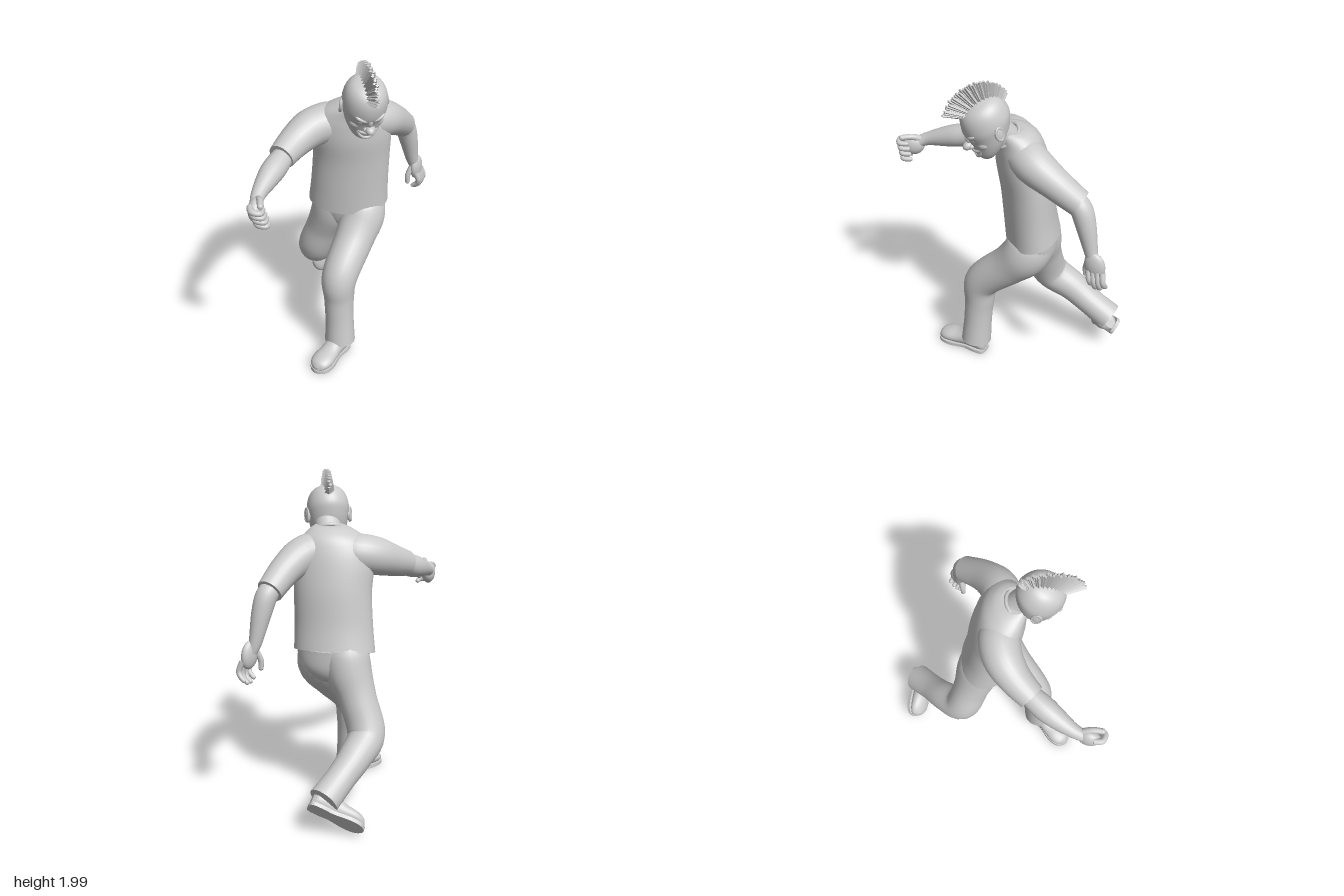
import * as THREE from 'three';

const grey = new THREE.MeshStandardMaterial({ color: 0xcccccc, side: THREE.DoubleSide });
const V = (x, y, z) => new THREE.Vector3(x, y, z);

function mesh(name, geometry, parent, pos = [0, 0, 0], scale = [1, 1, 1]) {
  const m = new THREE.Mesh(geometry, grey);
  m.name = name;
  m.position.set(...pos);
  m.scale.set(...scale);
  parent.add(m);
  return m;
}

const ball = (name, parent, pos, radii) =>
  mesh(name, new THREE.SphereGeometry(1, 20, 14), parent, pos, radii);

// Catmull-Rom interpolation of every column of a table of stations
function smooth(rows, steps = 6) {
  const out = [], at = i => rows[Math.min(Math.max(i, 0), rows.length - 1)];
  for (let i = 0; i < rows.length - 1; i++) {
    for (let s = 0; s < steps; s++) {
      const t = s / steps;
      out.push(rows[i].map((_, k) => {
        const [a, b, c, d] = [at(i - 1)[k], at(i)[k], at(i + 1)[k], at(i + 2)[k]];
        return b + 0.5 * t * (c - a + t * (2 * a - 5 * b + 4 * c - d + t * (3 * (b - c) + d - a)));
      }));
    }
  }
  out.push(rows[rows.length - 1]);
  return out;
}

// Skin over elliptical rings { c, u, v }, with u x v pointing along the loft; both ends capped
function loft(rings, n = 28) {
  const pos = [], idx = [];
  const addRing = r => {
    for (let j = 0; j < n; j++) {
      const t = (j / n) * Math.PI * 2;
      const p = r.c.clone().addScaledVector(r.u, Math.cos(t)).addScaledVector(r.v, Math.sin(t));
      pos.push(p.x, p.y, p.z);
    }
  };
  rings.forEach(addRing);
  for (let i = 0; i < rings.length - 1; i++) {
    for (let j = 0; j < n; j++) {
      const a = i * n + j, b = i * n + (j + 1) % n;
      idx.push(a, b, b + n, a, b + n, a + n);
    }
  }
  [rings[0], rings[rings.length - 1]].forEach((r, end) => {
    const base = pos.length / 3;
    addRing(r);
    pos.push(r.c.x, r.c.y, r.c.z);
    for (let j = 0; j < n; j++) {
      const a = base + j, b = base + (j + 1) % n;
      idx.push(base + n, end ? a : b, end ? b : a);
    }
  });
  const g = new THREE.BufferGeometry();
  g.setAttribute('position', new THREE.Float32BufferAttribute(pos, 3));
  g.setIndex(idx);
  g.computeVertexNormals();
  return g;
}

// Upright form; stations are [x, y, z, halfWidth, halfDepth], turned by yaw degrees;
// the front of the lower edge hangs lower by drop
function upright(rows, yawLow = 0, yawHigh = 0, drop = 0) {
  const st = smooth(rows);
  return loft(st.map(([x, y, z, a, b], i) => {
    const k = i / (st.length - 1);
    const t = THREE.MathUtils.degToRad(yawLow + (yawHigh - yawLow) * k), s = Math.sin(t), c = Math.cos(t);
    return { c: V(x, y, z), u: V(s * b, -drop * (1 - k), c * b), v: V(c * a, 0, -s * a) };
  }), 40);
}

// Limb of varying radius; stations are [x, y, z, radius]
function limb(rows, n = 24) {
  const st = smooth(rows), P = st.map(r => V(r[0], r[1], r[2]));
  let u = V(1, 0.13, 0.21);
  return loft(st.map((r, i) => {
    const t = P[Math.min(i + 1, P.length - 1)].clone().sub(P[Math.max(i - 1, 0)]).normalize();
    u = u.clone().addScaledVector(t, -u.dot(t)).normalize();
    return { c: P[i], u: u.clone().multiplyScalar(r[3]), v: t.clone().cross(u).multiplyScalar(r[3]) };
  }), n);
}

// Rounded digit tapering to its tip
function digit(name, parent, pts, r) {
  const tip = r * (1 - 0.1 * (pts.length - 1));
  mesh(name, limb(pts.map((p, i) => [...p, r * (1 - 0.1 * i)]), 12), parent);
  ball(name + 'Tip', parent, pts[pts.length - 1], [tip, tip, tip]);
}

// Shoe with its heel at the origin, pointing along +z
function shoe(name, parent, heel, forward, up) {
  const g = new THREE.Group();
  g.name = name;
  const f = V(...forward).normalize(), y = V(...up);
  y.addScaledVector(f, -y.dot(f)).normalize();
  g.quaternion.setFromRotationMatrix(new THREE.Matrix4().makeBasis(y.clone().cross(f), y, f));
  g.position.set(...heel);
  const stations = [[0.005, 0.025, 0.08], [0.03, 0.053, 0.12], [0.08, 0.06, 0.14], [0.14, 0.058, 0.125],
    [0.2, 0.064, 0.098], [0.27, 0.07, 0.084], [0.32, 0.052, 0.065], [0.342, 0.015, 0.035]];
  mesh('shoeUpper', loft(smooth(stations).map(([z, w, h]) =>
    ({ c: V(0, h / 2 + 0.008, z), u: V(w, 0, 0), v: V(0, h / 2, 0) }))), g);
  const half = [[0, 0], [0.045, 0.01], [0.055, 0.07], [0.05, 0.14], [0.07, 0.25], [0.055, 0.32], [0, 0.35]];
  const outline = [...half, ...half.slice(1, -1).reverse().map(([x, z]) => [-x, z])];
  const curve = new THREE.CatmullRomCurve3(outline.map(([x, z]) => V(x, z, 0)), true);
  const shape = new THREE.Shape(curve.getPoints(48).slice(0, -1).map(p => new THREE.Vector2(p.x, p.y)));
  const sole = new THREE.ExtrudeGeometry(shape, { depth: 0.022, bevelEnabled: false });
  mesh('shoeSole', sole.rotateX(Math.PI / 2), g, [0, 0.022, 0]);
  parent.add(g);
}

function makeHead() {
  const head = new THREE.Group();
  head.name = 'head';
  head.position.set(0.245, 1.76, 0.01);
  head.rotation.set(THREE.MathUtils.degToRad(28), Math.PI / 4, 0, 'YXZ');
  mesh('skull', upright([[0, -0.215, 0.082, 0.015, 0.012], [0, -0.203, 0.079, 0.045, 0.042],
    [0, -0.17, 0.062, 0.078, 0.078], [0, -0.12, 0.032, 0.104, 0.11], [0, -0.06, 0.01, 0.12, 0.13],
    [0, 0, 0, 0.128, 0.144], [0, 0.07, -0.004, 0.114, 0.128], [0, 0.115, -0.004, 0.078, 0.088],
    [0, 0.14, -0.004, 0.01, 0.01]]), head);
  ball('nose', head, [0, -0.075, 0.16], [0.026, 0.023, 0.03]);
  ball('noseBridge', head, [0, -0.045, 0.134], [0.016, 0.038, 0.02]);
  // Open grin: lips and a row of teeth
  const lip = (name, y, sag) => mesh(name, new THREE.TubeGeometry(new THREE.CatmullRomCurve3(
    [V(-0.062, -0.11, 0.108), V(-0.035, y, 0.137), V(0, y - sag, 0.144), V(0.035, y, 0.137), V(0.062, -0.11, 0.108)]),
    24, 0.009, 8), head);
  lip('upperLip', -0.115, 0.003);
  lip('lowerLip', -0.15, 0.012);
  for (let i = -2; i <= 2; i++) {
    ball('tooth', head, [i * 0.017, -0.126, 0.134 - 0.0022 * i * i], [0.009, 0.012, 0.006]);
  }
  ball('chin', head, [0, -0.188, 0.106], [0.038, 0.026, 0.024]);
  for (const s of [-1, 1]) {
    ball('eye', head, [s * 0.045, -0.035, 0.117], [0.022, 0.015, 0.016]);
    const brow = ball('brow', head, [s * 0.046, -0.01, 0.12], [0.042, 0.014, 0.022]);
    brow.rotation.set(0, s * 0.35, s * 0.3);
    const cheek = ball('cheek', head, [s * 0.06, -0.083, 0.088], [0.042, 0.034, 0.033]);
    cheek.rotation.y = s * 0.5;
    ball('nostril', head, [s * 0.02, -0.082, 0.146], [0.015, 0.014, 0.016]);
    // Ear: shell with a raised rim, flared slightly off the head
    const ear = new THREE.Group();
    ear.name = 'ear';
    ear.position.set(s * 0.126, -0.045, -0.012);
    ear.rotation.set(-0.15, s * 0.35, 0);
    ball('earShell', ear, [0, 0, 0], [0.013, 0.046, 0.031]);
    const rim = mesh('earRim', new THREE.TorusGeometry(0.025, 0.006, 8, 24), ear, [s * 0.006, 0.002, 0], [1, 1.5, 1]);
    rim.rotation.y = Math.PI / 2;
    head.add(ear);
  }
  // Crest of tightly overlapping flat spikes from brow to nape
  const count = 36;
  for (let i = 0; i < count; i++) {
    const t = i / (count - 1), a = THREE.MathUtils.degToRad(46 - 116 * t);
    const len = 0.137 - 0.06 * t * t - 0.006 * (i % 2), r = 0.115 + len / 2;
    const spike = new THREE.CylinderGeometry(0.009, 0.026, len, 4).toNonIndexed();
    spike.computeVertexNormals();
    const m = mesh('hairSpike', spike, head,
      [((i % 3) - 1) * 0.006, r * Math.cos(a), r * Math.sin(a)], [1.25, 1, 0.8]);
    m.rotation.x = a + 0.06;
  }
  return head;
}

export function createModel() {
  const model = new THREE.Group();
  model.name = 'stridingMan';

  // Shirt, collar and neck
  mesh('shirt', upright([[0.04, 0.955, -0.2, 0.246, 0.163], [0.055, 1.1, -0.185, 0.236, 0.155],
    [0.072, 1.3, -0.17, 0.232, 0.153], [0.082, 1.45, -0.145, 0.238, 0.15], [0.09, 1.55, -0.13, 0.225, 0.138],
    [0.105, 1.62, -0.12, 0.185, 0.122], [0.135, 1.667, -0.105, 0.125, 0.102], [0.155, 1.685, -0.092, 0.085, 0.08]],
  25, 45, 0.035), model);
  const collar = mesh('collar', new THREE.TorusGeometry(0.086, 0.011, 10, 40), model, [0.168, 1.643, -0.076]);
  collar.quaternion.setFromUnitVectors(V(0, 0, 1), V(0.4, 0.82, 0.4).normalize());
  mesh('neck', limb([[0.13, 1.58, -0.11, 0.085], [0.18, 1.65, -0.07, 0.08], [0.23, 1.73, -0.02, 0.08]]), model);
  model.add(makeHead());

  // Trousers
  mesh('trouserSeat', upright([[0.03, 0.76, -0.2, 0.05, 0.05], [0.035, 0.8, -0.21, 0.14, 0.105],
    [0.04, 0.87, -0.215, 0.2, 0.132], [0.04, 0.98, -0.205, 0.225, 0.143]], 22, 25), model);
  mesh('leftTrouserLeg', limb([[0.115, 1.02, -0.225, 0.11], [0.125, 0.93, -0.225, 0.138], [0.142, 0.845, -0.19, 0.143],
    [0.145, 0.735, -0.09, 0.124], [0.142, 0.56, 0.09, 0.112], [0.15, 0.4, 0.113, 0.094], [0.16, 0.25, 0.122, 0.09],
    [0.17, 0.09, 0.132, 0.096]]), model);
  mesh('rightTrouserLeg', limb([[-0.035, 1.02, -0.19, 0.11], [-0.045, 0.94, -0.195, 0.135], [-0.07, 0.83, -0.2, 0.137],
    [-0.135, 0.68, -0.205, 0.116], [-0.215, 0.485, -0.228, 0.113], [-0.235, 0.39, -0.37, 0.098],
    [-0.228, 0.305, -0.5, 0.088], [-0.22, 0.22, -0.645, 0.093]]), model);
  shoe('leftShoe', model, [0.175, 0, 0.06], [-0.09, 0, 1], [0, 1, 0]);
  shoe('rightShoe', model, [-0.162, 0.195, -0.715], [-0.24, -0.15, 0.17], [0, 0.41, 0.91]);

  // Left arm, swung back
  mesh('leftSleeve', limb([[0.1, 1.53, -0.1, 0.09], [0.16, 1.54, -0.18, 0.114], [0.218, 1.517, -0.27, 0.112],
    [0.24, 1.45, -0.4, 0.093], [0.235, 1.355, -0.545, 0.078]]), model);
  mesh('leftForearm', limb([[0.235, 1.38, -0.5, 0.06], [0.245, 1.33, -0.56, 0.064], [0.255, 1.23, -0.598, 0.058],
    [0.267, 1.08, -0.638, 0.04], [0.28, 1.01, -0.66, 0.03]]), model);
  const leftHand = new THREE.Group();
  leftHand.name = 'leftHand';
  model.add(leftHand);
  const leftPalm = ball('palm', leftHand, [0.287, 1.0, -0.672], [0.033, 0.085, 0.062]);
  leftPalm.rotation.x = 0.2;
  for (let i = 0; i < 4; i++) {
    const z = -0.64 - 0.027 * i, d = i === 0 || i === 3 ? 0.018 : 0;
    digit('finger', leftHand, [[0.298, 0.97, z], [0.315, 0.91 + d / 2, z - 0.012], [0.305, 0.87 + d, z - 0.018],
      [0.276, 0.845 + d, z - 0.018]], 0.019);
  }
  digit('thumb', leftHand, [[0.275, 1.02, -0.635], [0.258, 0.96, -0.612], [0.258, 0.91, -0.612]], 0.019);

  // Right arm, reaching forward with a closed fist
  mesh('rightSleeve', limb([[0.06, 1.53, -0.12, 0.09], [-0.015, 1.525, -0.065, 0.118], [-0.09, 1.505, 0.03, 0.115],
    [-0.127, 1.465, 0.15, 0.097], [-0.138, 1.425, 0.285, 0.08]]), model);
  mesh('rightForearm', limb([[-0.135, 1.43, 0.24, 0.06], [-0.133, 1.395, 0.36, 0.07], [-0.128, 1.37, 0.45, 0.063],
    [-0.112, 1.335, 0.57, 0.042], [-0.085, 1.305, 0.64, 0.035]]), model);
  const rightHand = new THREE.Group();
  rightHand.name = 'rightHand';
  model.add(rightHand);
  const rightPalm = ball('palm', rightHand, [-0.075, 1.295, 0.655], [0.045, 0.068, 0.07]);
  rightPalm.rotation.y = 0.4;
  for (let i = 0; i < 4; i++) {
    const y = 1.33 - 0.031 * i, z = -0.01 * i, x = 0.005 * i;
    digit('finger', rightHand, [[-0.085 + x, y, 0.695 + z], [-0.05 + x, y, 0.732 + z],
      [-0.006 + x, y - 0.006, 0.715 + z], [-0.018 + x, y - 0.008, 0.672 + z]], 0.02);
  }
  digit('thumb', rightHand, [[-0.09, 1.335, 0.61], [-0.05, 1.36, 0.65], [-0.015, 1.36, 0.7]], 0.021);

  return model;
}
